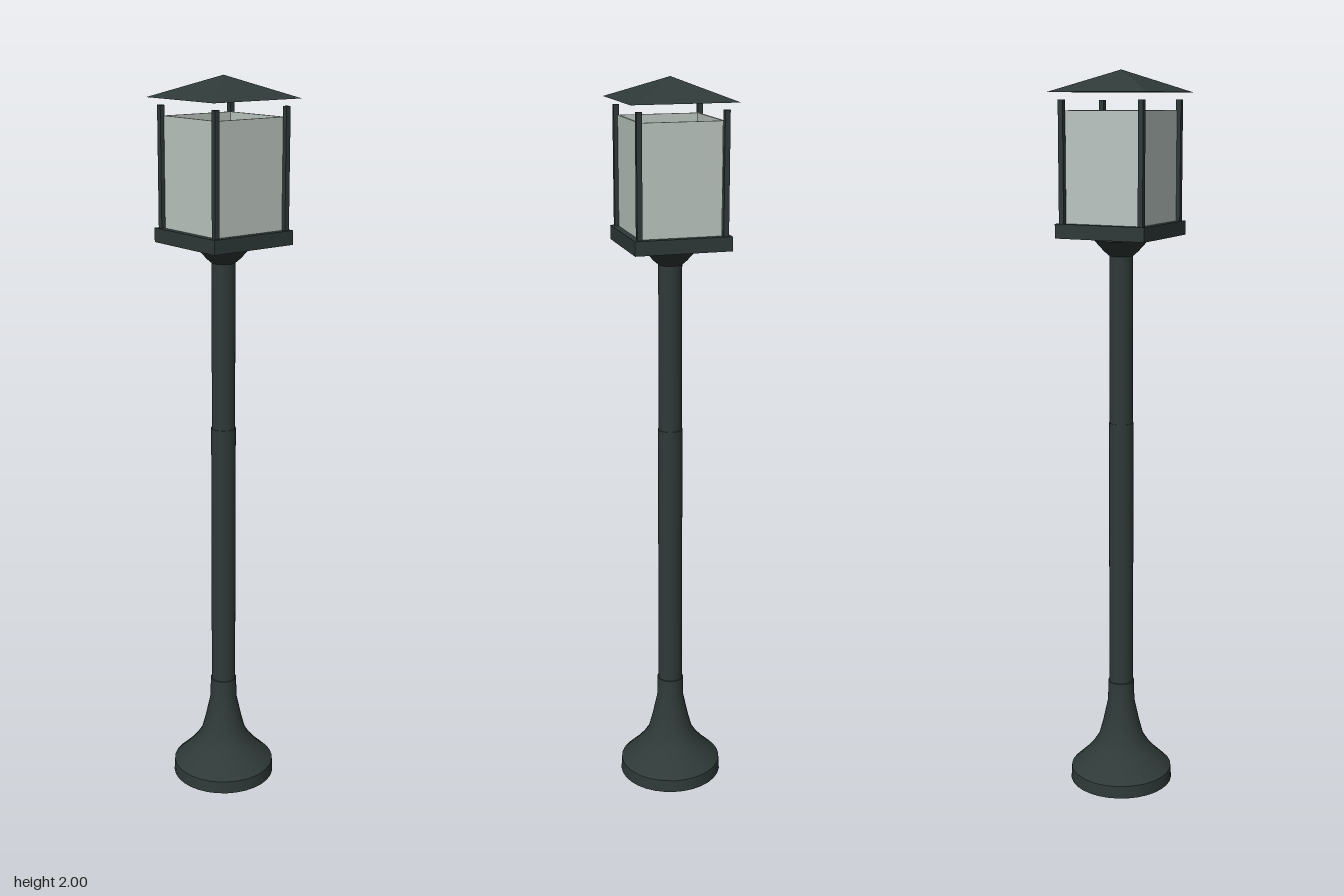
import * as THREE from 'three';

const metal = new THREE.MeshStandardMaterial({ color: 0x2f3a38 });
metal.name = 'dark metal';
const glass = new THREE.MeshStandardMaterial({ color: 0xbcc6c1 });
glass.name = 'pale glass';

export function createModel() {
  const model = new THREE.Group();
  model.name = 'lampPost';

  const add = (name, geometry, material, x = 0, y = 0, z = 0, parent = model) => {
    const mesh = new THREE.Mesh(geometry, material);
    mesh.name = name;
    mesh.position.set(x, y, z);
    parent.add(mesh);
    return mesh;
  };
  // A repeated point in a profile makes a sharp edge
  const lathe = (points) =>
    new THREE.LatheGeometry(points.map(([r, y]) => new THREE.Vector2(r, y)), 32);

  // Flared foot, closed underneath
  add('foot', lathe([
    [0, 0], [0.146, 0], [0.146, 0], [0.144, 0.036], [0.144, 0.036],
    [0.106, 0.073], [0.083, 0.1], [0.064, 0.13], [0.052, 0.175], [0.038, 0.24],
    [0.037, 0.3], [0.037, 0.3], [0, 0.3],
  ]), metal);

  // Two stepped pole sections
  add('lowerPole', new THREE.CylinderGeometry(0.034, 0.034, 0.78, 32), metal, 0, 0.67, 0);
  add('upperPole', new THREE.CylinderGeometry(0.032, 0.032, 0.48, 32), metal, 0, 1.29, 0);

  // Collar under the lantern
  add('collar', lathe([
    [0.032, 1.518], [0.046, 1.53], [0.074, 1.561], [0.074, 1.561], [0, 1.561],
  ]), metal);

  // Lantern tray
  add('tray', new THREE.BoxGeometry(0.26, 0.038, 0.26), metal, 0, 1.588, 0);

  // Four sides, each with one corner post and one pane
  for (let i = 0; i < 4; i++) {
    const side = new THREE.Group();
    side.name = 'lanternSide';
    side.rotation.y = (i * Math.PI) / 2;
    add('cornerPost', new THREE.BoxGeometry(0.014, 0.32, 0.014), metal, 0.115, 1.764, 0.115, side);
    add('pane', new THREE.BoxGeometry(0.212, 0.29, 0.006), glass, 0, 1.752, 0.109, side);
    model.add(side);
  }

  // Pyramid roof with a flat underside
  const roof = new THREE.ConeGeometry(0.142 * Math.SQRT2, 0.057, 4).toNonIndexed();
  roof.rotateY(Math.PI / 4);
  roof.computeVertexNormals();
  add('roof', roof, metal, 0, 1.9715, 0);

  return model;
}
